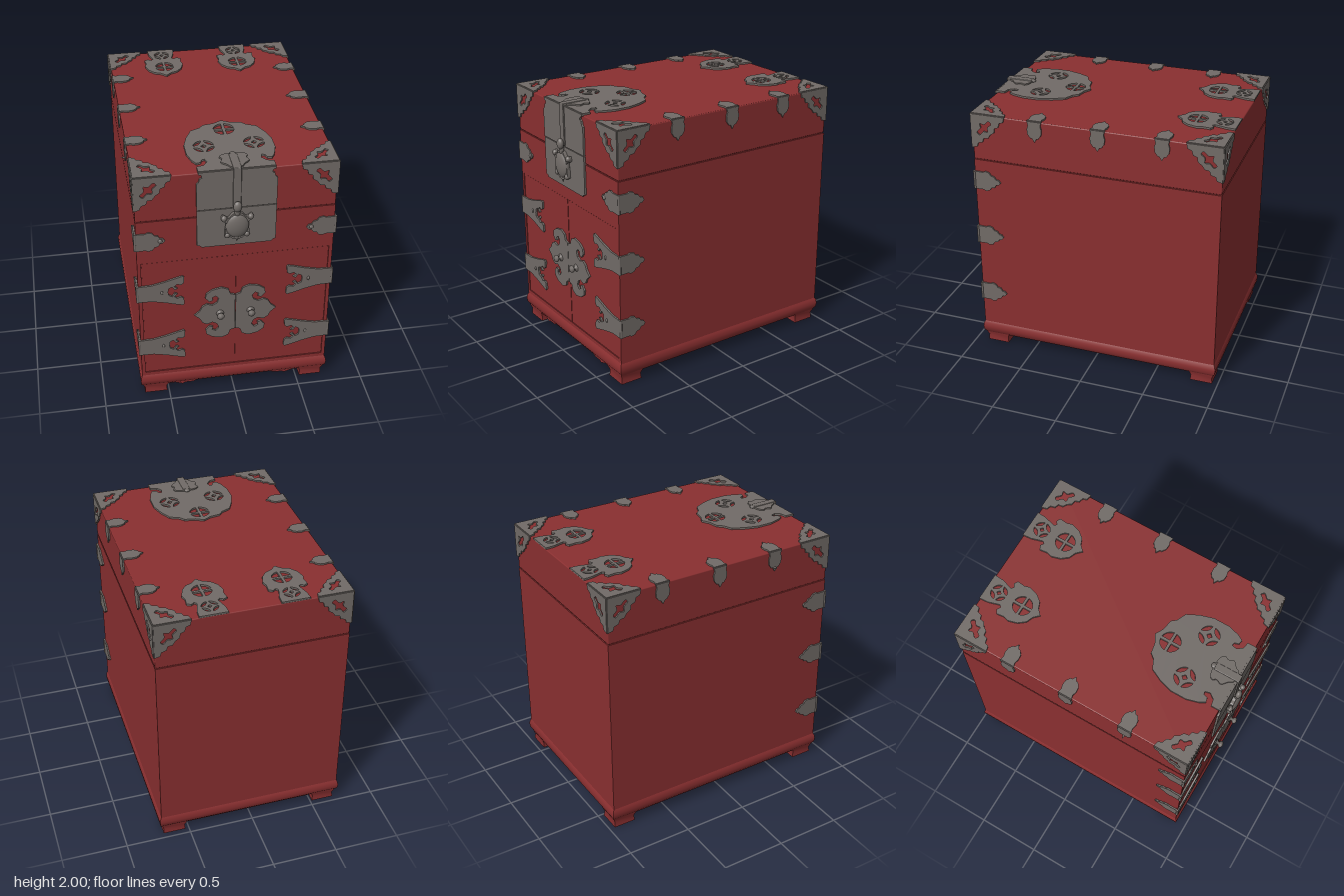
import * as THREE from 'three';
import { toCreasedNormals } from 'three/addons/utils/BufferGeometryUtils.js';
import { RoundedBoxGeometry } from 'three/addons/geometries/RoundedBoxGeometry.js';

const HX = 0.712, ZF = 0.915, ZB = -0.97, TOP = 1.966;
const ZC = (ZF + ZB) / 2, HZ = (ZF - ZB) / 2;

export function createModel() {
  const red = new THREE.MeshStandardMaterial({ color: 0x8a2f30 });
  red.name = 'red lacquer';
  const iron = new THREE.MeshStandardMaterial({ color: 0x716b67 });
  iron.name = 'grey iron';

  const model = new THREE.Group();
  model.name = 'chest';
  const chest = new THREE.Group();
  chest.name = 'cabinet';
  chest.position.x = 0.007;
  model.add(chest);

  const add = (name, geo, mat, x = 0, y = 0, z = 0) => {
    const m = new THREE.Mesh(geo, mat);
    m.name = name;
    m.position.set(x, y, z);
    chest.add(m);
    return m;
  };
  // box given by its limits
  const box = (name, mat, x0, x1, y0, y1, z0, z1, r = 0) => {
    const s = [x1 - x0, y1 - y0, z1 - z0];
    const g = r ? new RoundedBoxGeometry(...s, 2, r) : new THREE.BoxGeometry(...s);
    return add(name, g, mat, (x0 + x1) / 2, (y0 + y1) / 2, (z0 + z1) / 2);
  };
  const ball = (name, x, y, z, sx, sy, sz) =>
    add(name, new THREE.SphereGeometry(1, 20, 14), iron, x, y, z).scale.set(sx, sy, sz);

  // rectangular moulding: profile of [offset, y] swept round a rectangle
  const moulding = (name, profile, cx, cz, hx, hz) => {
    const pos = [];
    const sign = [[1, 1], [1, -1], [-1, -1], [-1, 1]];
    const pt = ([d, y], k) => [cx + sign[k % 4][0] * (hx + d), y, cz + sign[k % 4][1] * (hz + d)];
    for (let j = 0; j + 1 < profile.length; j++) {
      for (let k = 0; k < 4; k++) {
        const a = pt(profile[j], k), b = pt(profile[j + 1], k);
        const c = pt(profile[j + 1], k + 1), d = pt(profile[j], k + 1);
        pos.push(...a, ...b, ...c, ...a, ...c, ...d);
      }
    }
    const g = new THREE.BufferGeometry();
    g.setAttribute('position', new THREE.Float32BufferAttribute(pos, 3));
    add(name, toCreasedNormals(g, 0.7), red);
  };

  // outlines
  const vecs = (p) => p.map(([x, y]) => new THREE.Vector2(x, y));
  const mirrorU = (h) => [...h, ...h.filter((p) => p[0] !== 0).reverse().map(([u, v]) => [-u, v])];
  const mirrorV = (h) => [...h, ...h.filter((p) => p[1] !== 0).reverse().map(([u, v]) => [u, -v])];
  const mirrorDiagonal = (h) => [...h, ...h.filter((p) => p[0] !== p[1]).reverse().map(([u, v]) => [v, u])];
  const smooth = (p) => new THREE.CatmullRomCurve3(p.map(([x, y]) => new THREE.Vector3(x, y, 0)), true)
    .getPoints(p.length * 4).slice(0, -1).map((v) => [v.x, v.y]);

  // pierced roundel: four petals, curved or straight on the inside
  const roundel = (cx, cy, r, curved) => {
    const holes = [0, 1, 2, 3].map((k) => {
      const a = k * Math.PI / 2 + 0.14, b = (k + 1) * Math.PI / 2 - 0.14, m = (a + b) / 2;
      const path = new THREE.Path();
      const sx = cx + r * Math.cos(a), sy = cy + r * Math.sin(a);
      const q = curved ? 0.35 * r : 0.2 * r;
      const ix = cx + q * Math.cos(m), iy = cy + q * Math.sin(m);
      path.moveTo(sx, sy);
      path.absarc(cx, cy, r, a, b, false);
      if (curved) path.quadraticCurveTo(ix, iy, sx, sy);
      else path.lineTo(ix, iy).lineTo(sx, sy);
      return path;
    });
    const s = r * 0.28;
    if (curved) holes.push(new THREE.Path(vecs([[cx + s, cy], [cx, cy + s], [cx - s, cy], [cx, cy - s]])));
    return holes;
  };

  // flat fitting lying in the plane spanned by u and v
  const plate = (name, mat, pts, origin, u, v, holes = [], t = 0.014) => {
    const shape = new THREE.Shape(vecs(pts));
    shape.holes.push(...holes);
    const g = new THREE.ExtrudeGeometry(shape, { depth: t, bevelEnabled: false, curveSegments: 8 });
    g.translate(0, 0, -t / 2);
    const U = new THREE.Vector3(...u), V = new THREE.Vector3(...v);
    g.applyMatrix4(new THREE.Matrix4().makeBasis(U, V, U.clone().cross(V)));
    return add(name, g, mat, ...origin);
  };
  const X = [1, 0, 0], Y = [0, 1, 0], Z = [0, 0, 1];
  const neg = (a) => a.map((n) => -n);
  const rect = (a, b, c, d) => [[a, c], [b, c], [b, d], [a, d]];

  // cabinet body, front frame, doors and lid
  box('body', red, -HX, HX, 0.17, 1.605, ZB, 0.905);
  plate('frontFrame', red, rect(-HX, HX, 0.19, 1.605), [0, 0, 0.91], X, Y,
    [new THREE.Path(vecs(rect(-0.685, 0.685, 0.22, 1.25)))], 0.01);
  for (const s of [-1, 1]) {
    const x = [s * 0.003, s * 0.681].sort((a, b) => a - b);
    box('door', red, x[0], x[1], 0.224, 1.246, 0.9, 0.911);
  }
  box('lidJoint', red, -HX + 0.008, HX - 0.008, 1.6, 1.62, ZB + 0.008, ZF - 0.008);
  box('lid', red, -HX, HX, 1.611, TOP, ZB, ZF, 0.008);

  // base moulding, feet and scalloped apron
  moulding('base', [[-0.03, 0.195], [-0.003, 0.19], [0.008, 0.17], [0.013, 0.14], [0.009, 0.105],
    [-0.01, 0.078], [-0.075, 0.078], [-0.075, 0.172]], 0, ZC, HX, HZ);
  for (const sx of [-1, 1]) for (const z of [ZF - 0.1, ZB + 0.1]) {
    moulding('foot', [[0.002, 0.1], [0, 0.078], [-0.013, 0.045], [-0.009, 0], [-0.095, 0]],
      sx * 0.608, z, 0.095, 0.095);
  }
  plate('apron', red, mirrorU([[0, 0.085], [0.18, 0.082], [0.21, 0.09], [0.27, 0.082], [0.32, 0.06],
    [0.38, 0.06], [0.4, 0.048], [0.46, 0.07], [0.53, 0.07], [0.53, 0.12], [0, 0.12]].slice(0, 10)),
  [0, 0, 0.89], X, Y, [], 0.02);

  // three-sided corner brackets of the lid
  const bracket = mirrorDiagonal([[0, 0], [0.265, 0], [0.255, 0.04], [0.225, 0.05], [0.215, 0.085],
    [0.185, 0.095], [0.18, 0.13], [0.15, 0.15]]);
  const trefoil = smooth(mirrorDiagonal([[0.07, 0.07], [0.105, 0.075], [0.14, 0.045], [0.16, 0.065],
    [0.13, 0.095], [0.13, 0.13]]));
  for (const sx of [-1, 1]) for (const sz of [-1, 1]) {
    const c = [sx * (HX + 0.004), TOP + 0.005, sz > 0 ? ZF + 0.003 : ZB - 0.003];
    const u = [-sx, 0, 0], w = [0, 0, -sz], d = neg(Y);
    for (const [a, b] of [[u, w], [u, d], [w, d]]) {
      plate('cornerBracket', iron, bracket, c, a, b, [new THREE.Path(vecs(trefoil))]);
    }
  }

  // small clips folded over the side edges of the lid
  const clip = mirrorU([[0.055, 0], [0.047, 0.03], [0.056, 0.06], [0.052, 0.1], [0.03, 0.13], [0.018, 0.13], [0, 0.16]]);
  for (const s of [-1, 1]) for (const z of [0.42, -0.06, -0.535]) {
    const c = [s * (HX + 0.004), TOP + 0.005, z];
    plate('lidClip', iron, clip, c, Z, [-s, 0, 0]);
    plate('lidClip', iron, clip, c, Z, neg(Y));
  }
  add('clipPin', new THREE.ConeGeometry(0.012, 0.04, 10).rotateZ(Math.PI / 2), iron, -HX - 0.02, 1.84, 0.42);

  // corner straps and flared door hinges
  const leaf = mirrorV([[0, 0.072], [0.07, 0.07], [0.09, 0.08], [0.12, 0.072], [0.135, 0.05], [0.16, 0.045],
    [0.175, 0.022], [0.195, 0.02], [0.21, 0]]);
  const flare = mirrorV([[0, 0.07], [0.1, 0.072], [0.2, 0.095], [0.29, 0.122], [0.33, 0.132], [0.34, 0.12], [0.335, 0.07],
    [0.315, 0.055], [0.285, 0.065], [0.265, 0.045], [0.29, 0.025], [0.27, 0.015], [0.25, 0.045], [0.225, 0.03], [0.22, 0]]);
  for (const s of [-1, 1]) for (const y of [1.44, 0.98, 0.475]) {
    const c = [s * (HX + 0.005), y, ZF + 0.003];
    plate('sideStrap', iron, leaf, c, neg(Z), Y);
    plate(y > 1.2 ? 'frontStrap' : 'doorHinge', iron, y > 1.2 ? leaf : flare, c, [-s, 0, 0], Y);
    add('hingeBarrel', new THREE.CylinderGeometry(0.01, 0.01, 0.142, 12), iron, s * (HX + 0.007), y, ZF + 0.002);
    ball('strapStud', s * (HX - 0.17), y, ZF + 0.01, y > 1.2 ? 0.016 : 0.01, 0.016, 0.01);
  }

  // cloud-shaped door plate, split in two, with knobs
  const cloud = mirrorV([[0, 0.16], [0.035, 0.17], [0.05, 0.215], [0.1, 0.237], [0.17, 0.222], [0.215, 0.19],
    [0.222, 0.15], [0.192, 0.115], [0.165, 0.125], [0.172, 0.15], [0.145, 0.165], [0.122, 0.138], [0.135, 0.1],
    [0.17, 0.08], [0.21, 0.095], [0.245, 0.075], [0.265, 0.035], [0.305, 0]]);
  for (const s of [-1, 1]) {
    plate('doorPlate', iron, cloud, [s * 0.002, 0.735, ZF + 0.003], [s, 0, 0], Y);
    const knob = new THREE.LatheGeometry(vecs([[0.03, 0], [0.028, 0.008], [0.012, 0.014], [0.012, 0.026], [0.025, 0.034],
      [0.028, 0.045], [0.02, 0.057], [0, 0.062]]), 20).rotateX(Math.PI / 2);
    add('knob', knob, iron, s * 0.115, 0.735, ZF + 0.006);
  }

  // pierced ornaments on the lid
  const crest = mirrorU([[0.27, 0], [0.27, 0.065], [0.22, 0.075], [0.19, 0.115], [0.2, 0.152], [0.222, 0.147],
    [0.232, 0.115], [0.265, 0.108], [0.29, 0.15], [0.315, 0.24], [0.315, 0.36], [0.285, 0.46], [0.24, 0.55],
    [0.17, 0.582], [0.14, 0.618], [0.06, 0.632], [0, 0.665]]);
  plate('lidCrest', iron, crest, [0, TOP + 0.009, ZF + 0.003], X, neg(Z),
    [...roundel(0.18, 0.325, 0.075, true), ...roundel(-0.18, 0.325, 0.075, true), ...roundel(0, 0.54, 0.075, false)]);
  const backHinge = mirrorU([[0.105, 0], [0.1, 0.07], [0.085, 0.12], [0.075, 0.155], [0.09, 0.172], [0.115, 0.155],
    [0.145, 0.17], [0.138, 0.23], [0.15, 0.27], [0.13, 0.34], [0.09, 0.39], [0.04, 0.41], [0, 0.45]]);
  for (const s of [-1, 1]) {
    plate('backHinge', iron, backHinge, [s * 0.293, TOP + 0.008, ZB - 0.002], X, Z,
      [...roundel(0, 0.1, 0.06, true), ...roundel(0, 0.3, 0.072, false)]);
  }

  // lock plate in two leaves
  plate('lockPlateUpper', iron, mirrorU([[0.283, 1.672], [0.283, 1.885], [0.268, 1.9], [0.262, 1.925], [0.245, 1.935],
    [0.25, 1.955], [0.27, 1.962], [0.27, 1.978]]), [0, 0, ZF + 0.006], X, Y, [], 0.018);
  plate('lockPlateLower', iron, mirrorU([[0.25, 1.355], [0.262, 1.37], [0.283, 1.375], [0.283, 1.666]]),
    [0, 0, ZF + 0.006], X, Y, [], 0.016);

  // hasp folded over the lid edge, with its shaped top leaf
  box('hasp', iron, -0.029, 0.029, 1.68, 1.998, ZF + 0.01, ZF + 0.026, 0.006);
  box('haspTop', iron, -0.029, 0.029, 1.976, 1.998, 0.74, ZF + 0.026, 0.006);
  const leafTop = smooth(mirrorU([[0.04, 0], [0.06, 0.03], [0.1, 0.07], [0.085, 0.11], [0.1, 0.14], [0.075, 0.165], [0, 0.175]]));
  plate('haspLeaf', iron, leafTop, [0, TOP + 0.02, ZF - 0.01], X, neg(Z));
  ball('haspTip', 0, TOP + 0.02, 0.733, 0.022, 0.012, 0.024);

  // tortoise lock
  const shell = smooth(mirrorU([[0.03, 0.105], [0.065, 0.07], [0.105, 0.09], [0.112, 0.055], [0.08, 0.03],
    [0.085, -0.03], [0.085, -0.085], [0.055, -0.085], [0.03, -0.105]]));
  plate('tortoiseBody', iron, shell, [0, 1.53, ZF + 0.026], X, Y, [], 0.03);
  ball('tortoiseShell', 0, 1.53, ZF + 0.03, 0.085, 0.1, 0.035);
  ball('tortoiseNeck', 0, 1.645, ZF + 0.032, 0.022, 0.04, 0.018);
  ball('tortoiseHead', 0, 1.693, ZF + 0.042, 0.031, 0.042, 0.024);
  for (const s of [-1, 1]) {
    ball('tortoiseFrontFoot', s * 0.095, 1.6, ZF + 0.035, 0.022, 0.022, 0.02);
    ball('tortoiseBackFoot', s * 0.07, 1.455, ZF + 0.035, 0.02, 0.022, 0.018);
  }
  add('tortoiseTail', new THREE.ConeGeometry(0.016, 0.05, 12).rotateX(Math.PI), iron, 0, 1.42, ZF + 0.03);

  return model;
}
